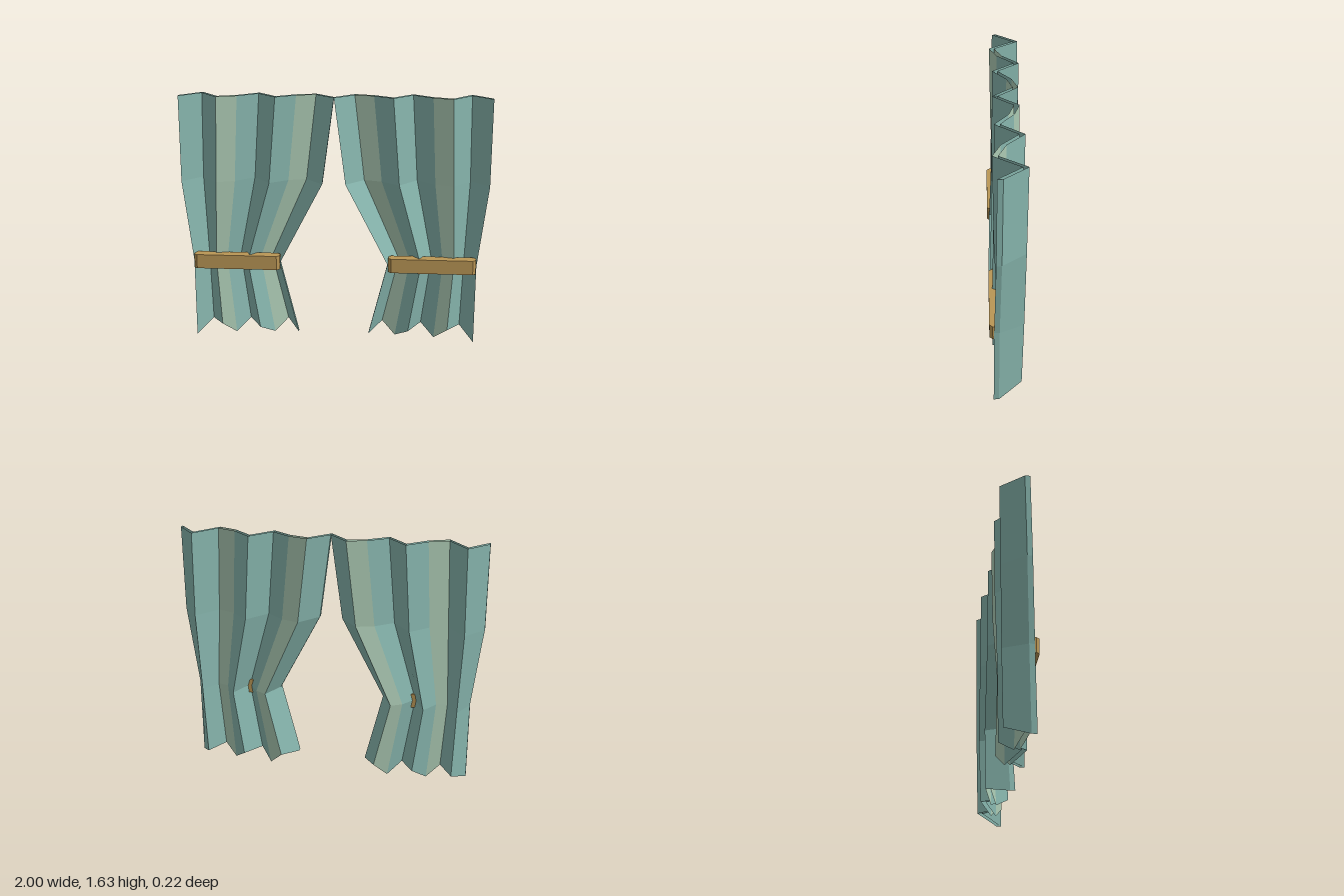
import * as THREE from 'three';

const teal = new THREE.MeshStandardMaterial({ name: 'teal cloth', color: 0x86b4ac, side: THREE.DoubleSide });
const sage = new THREE.MeshStandardMaterial({ name: 'sage cloth', color: 0xabc9b3, side: THREE.DoubleSide });
const gold = new THREE.MeshStandardMaterial({ name: 'ochre band', color: 0xba9655 });

const FOLDS = 8;
const HALF = 0.0165; // half the depth between the front cloth and its lining
// Rows from rail to hem: x of the outer edge, width of one fold, height and depth of each crease
const ROWS = [
  { x: 1.0, w: 0.125, y: 1.635, z: [0.047, -0.095, 0.07, 0.02, -0.09, 0.053, -0.035, -0.072, 0.06] },
  { x: 1.0, w: 0.1156, y: 1.075, z: [0.055, -0.088, 0.065, 0.022, -0.088, 0.06, -0.03, -0.068, 0.07] },
  { x: 0.935, w: 0.0725, y: 0.54, z: [0.068, -0.08, 0.045, 0.025, -0.082, 0.075, -0.02, -0.06, 0.083] },
  { x: 0.935, w: 0.0875, y: 0, z: [0.074, -0.07, 0.06, 0.01, -0.07, 0.075, -0.015, -0.06, 0.094] },
];
const HEM = [0.005, 0.07, 0.08, 0.005, 0.08, 0.07, 0.005, 0.09, 0.055];

// Corner of the cloth: row, crease, front (+1) or lining (-1) layer
function corner([r, i, layer], side) {
  const row = ROWS[r];
  return new THREE.Vector3(side * (row.x - row.w * i), row.y + (r === 3 ? HEM[i] : 0), row.z[i] + layer * HALF);
}

// Flat-looking folds: every quad gets one normal from its diagonals
function clothGeometry(folds, side) {
  const pos = [], nor = [];
  const quad = (...keys) => {
    const p = keys.map((k) => corner(k, side));
    if (side < 0) p.reverse();
    const n = p[2].clone().sub(p[0]).cross(p[3].clone().sub(p[1])).normalize();
    for (const k of [0, 1, 2, 0, 2, 3]) {
      pos.push(...p[k].toArray());
      nor.push(...n.toArray());
    }
  };
  for (const i of folds) {
    const j = i + 1;
    for (let r = 0; r < 3; r++) {
      quad([r + 1, j, 1], [r + 1, i, 1], [r, i, 1], [r, j, 1]);
      quad([r + 1, i, -1], [r + 1, j, -1], [r, j, -1], [r, i, -1]);
      // side edges of the panel
      if (i === 0) quad([r + 1, 0, 1], [r + 1, 0, -1], [r, 0, -1], [r, 0, 1]);
      if (j === FOLDS) quad([r + 1, j, -1], [r + 1, j, 1], [r, j, 1], [r, j, -1]);
    }
  }
  const g = new THREE.BufferGeometry();
  g.setAttribute('position', new THREE.Float32BufferAttribute(pos, 3));
  g.setAttribute('normal', new THREE.Float32BufferAttribute(nor, 3));
  return g;
}

// Flat band with chamfered corners
function tieGeometry() {
  const a = 0.286, b = 0.0375, c = 0.02;
  const outline = [[-a, -b + c], [-a + c, -b], [a - c, -b], [a, -b + c], [a, b - c], [a - c, b], [-a + c, b], [-a, b - c]];
  const shape = new THREE.Shape(outline.map(([x, y]) => new THREE.Vector2(x, y)));
  const g = new THREE.ExtrudeGeometry(shape, { depth: 0.095, bevelEnabled: false });
  return g.rotateX(-Math.PI / 2);
}

export function createModel() {
  const model = new THREE.Group();
  model.name = 'curtains';
  for (const [side, label] of [[1, 'left'], [-1, 'right']]) {
    const panel = new THREE.Group();
    panel.name = `${label}Curtain`;
    const plain = new THREE.Mesh(clothGeometry([0, 1, 3, 4, 5, 7], side), teal);
    plain.name = `${label}TealFolds`;
    const pale = new THREE.Mesh(clothGeometry([2, 6], side), sage);
    pale.name = `${label}SageFolds`;
    const tie = new THREE.Mesh(tieGeometry(), gold);
    tie.name = `${label}Tieback`;
    tie.position.set(side * 0.645, 0.49, 0.0755);
    panel.add(plain, pale, tie);
    model.add(panel);
  }
  return model;
}
